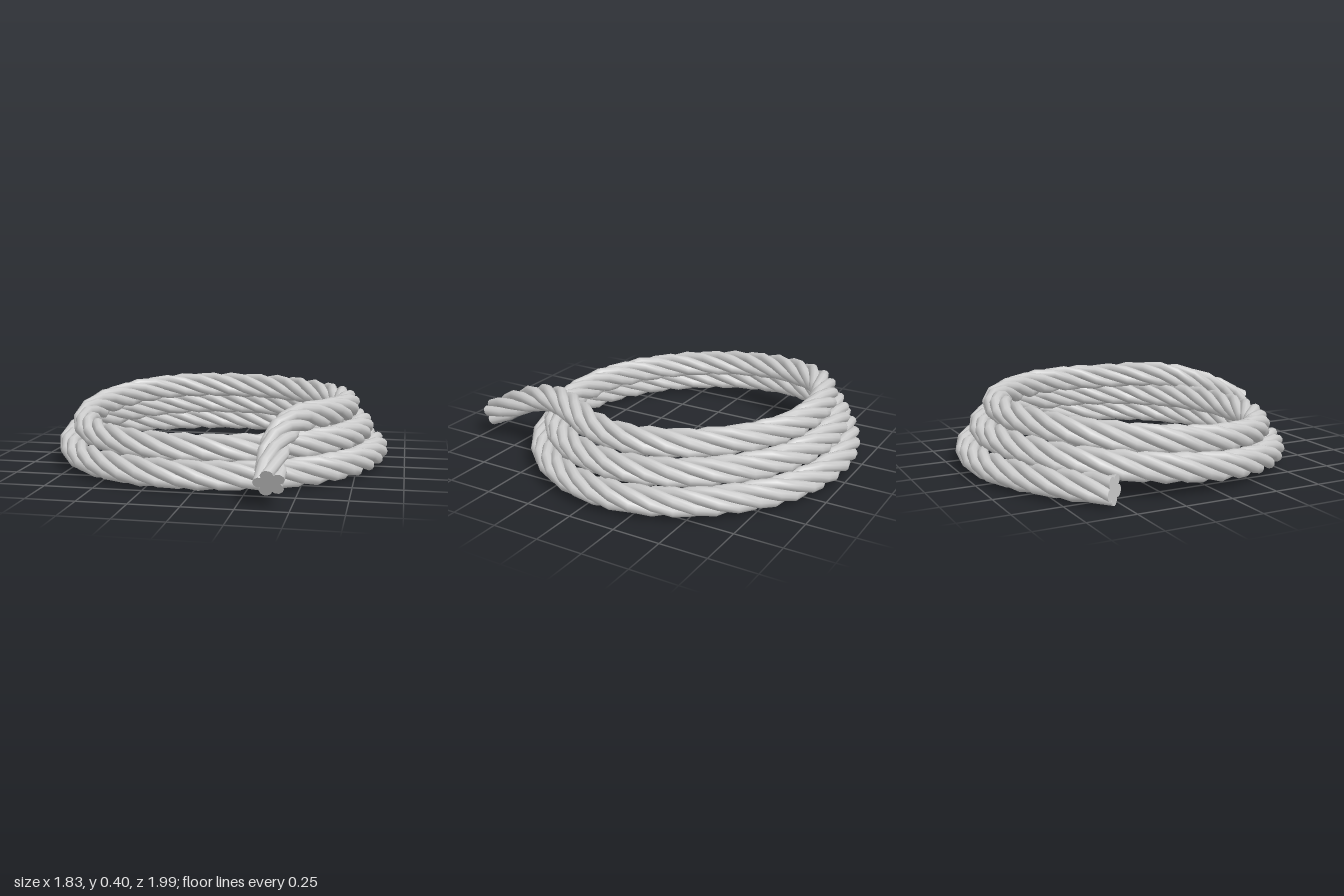
import * as THREE from 'three';

const STRANDS = 5, SIDES = 10, STEPS = 130;
const LAY_RADIUS = 0.046, STRAND_RADIUS = 0.031, PITCH = 0.75;

// Hand-laid unevenness of the ring, one radius offset every 45 degrees from the back
const WOBBLE = [-0.012, -0.03, 0.005, 0, 0.003, 0.03, 0.025, 0.035];

function wobble(deg) {
  const t = deg / 45 + 8, i = Math.floor(t);
  return THREE.MathUtils.lerp(WOBBLE[i % 8], WOBBLE[(i + 1) % 8], t - i);
}

// Centre line of the rope: a tapering stacked coil with two loose ends
function ropePath() {
  const pts = [new THREE.Vector3(-0.85, 0.085, -0.54), new THREE.Vector3(-0.66, 0.085, -0.70)];
  for (let deg = -30; deg <= 825; deg += 15) {
    const a = THREE.MathUtils.degToRad(deg);
    const r = 0.83 - 0.075 * deg / 360 + (deg < 0 ? 0 : wobble(deg));
    // each turn lies flat, then climbs one layer on the same side
    const y = 0.085 + 0.117 * (THREE.MathUtils.smoothstep(deg, 210, 345)
      + THREE.MathUtils.smoothstep(deg, 570, 705));
    pts.push(new THREE.Vector3(1.04 * r * Math.sin(a) - 0.015, y, -0.10 - r * Math.cos(a)));
  }
  // upper end leaves the coil and droops outward
  for (const p of [[0.57, 0.33, 0.25], [0.475, 0.332, 0.43], [0.41, 0.288, 0.62],
    [0.395, 0.215, 0.80], [0.405, 0.127, 0.965]]) pts.push(new THREE.Vector3(...p));
  const curve = new THREE.CatmullRomCurve3(pts);
  curve.arcLengthDivisions = 1500;
  return curve;
}

// One strand: a circle swept along the path while it turns round the centre line
function strandGeometry(centres, frames, length, layRadius, phase) {
  const pos = [], index = [];
  const put = (i, u, v) => {
    const p = centres[i].clone().addScaledVector(frames.normals[i], u).addScaledVector(frames.binormals[i], v);
    pos.push(p.x, p.y, p.z);
  };
  const ring = (i) => {
    const twist = phase + (i / STEPS) * length / PITCH * Math.PI * 2;
    const cu = layRadius * Math.cos(twist), cv = layRadius * Math.sin(twist);
    for (let j = 0; j < SIDES; j++) {
      const b = twist + j / SIDES * Math.PI * 2;
      put(i, cu + STRAND_RADIUS * Math.cos(b), cv + STRAND_RADIUS * Math.sin(b));
    }
  };
  for (let i = 0; i <= STEPS; i++) ring(i);
  for (let i = 0; i < STEPS; i++) {
    for (let j = 0; j < SIDES; j++) {
      const a = i * SIDES + j, b = i * SIDES + (j + 1) % SIDES;
      index.push(a, b, a + SIDES, b, b + SIDES, a + SIDES);
    }
  }
  // flat cut ends with their own vertices
  for (const i of [0, STEPS]) {
    const s = pos.length / 3;
    ring(i);
    for (let j = 1; j < SIDES - 1; j++) {
      if (i) index.push(s, s + j, s + j + 1);
      else index.push(s, s + j + 1, s + j);
    }
  }
  const g = new THREE.BufferGeometry();
  g.setAttribute('position', new THREE.Float32BufferAttribute(pos, 3));
  g.setIndex(index);
  g.computeVertexNormals();
  return g;
}

export function createModel() {
  const group = new THREE.Group();
  group.name = 'coiledRope';
  const material = new THREE.MeshStandardMaterial({ color: 0xcccccc });
  const path = ropePath();
  const centres = path.getSpacedPoints(STEPS);
  const frames = path.computeFrenetFrames(STEPS, false);
  const length = path.getLength();
  const addStrand = (name, layRadius, phase) => {
    const mesh = new THREE.Mesh(strandGeometry(centres, frames, length, layRadius, phase), material);
    mesh.name = name;
    group.add(mesh);
  };
  for (let k = 0; k < STRANDS; k++) addStrand('strand' + (k + 1), LAY_RADIUS, k / STRANDS * Math.PI * 2);
  // straight core filling the gap between the strands
  addStrand('core', 0, 0);
  return group;
}
